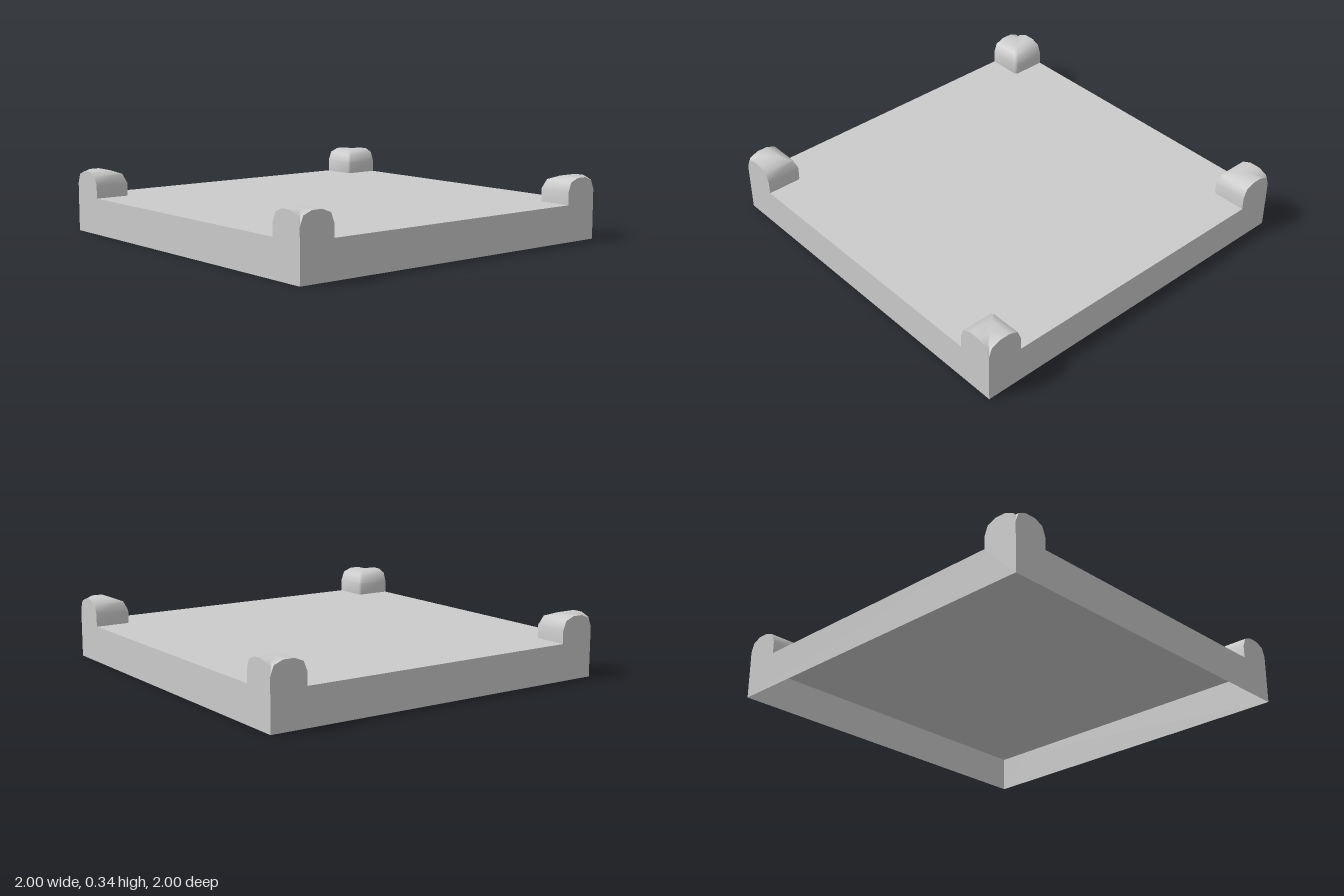
import * as THREE from 'three';
import { toCreasedNormals } from 'three/addons/utils/BufferGeometryUtils.js';

const material = new THREE.MeshStandardMaterial({ color: 0xcccccc, side: THREE.DoubleSide });
const DECK = 0.2;

// Arch profile of a corner stud: [distance inwards from the outer edge, height]
const ARCH = [[0, 0.27], [0.02, 0.32], [0.07, 0.34], [0.13, 0.34], [0.18, 0.32], [0.2, 0.27], [0.2, DECK]];

function mesh(name, geometry) {
  const m = new THREE.Mesh(geometry, material);
  m.name = name;
  return m;
}

// Flat side wall whose ends rise into the arches of the corner studs
function wallGeometry() {
  const shape = new THREE.Shape();
  shape.moveTo(-1, 0);
  shape.lineTo(1, 0);
  ARCH.forEach(([t, y]) => shape.lineTo(1 - t, y));
  [...ARCH].reverse().forEach(([t, y]) => shape.lineTo(t - 1, y));
  shape.closePath();
  return new THREE.ShapeGeometry(shape);
}

// Stud surface: the arch swept around the corner, mitred on the diagonal
function studGeometry() {
  const positions = [];
  const rows = ARCH.map(([t, y]) => {
    const c = t * 0.06; // small chamfer on the inner corner
    return [[0, t], [t - c, t], [t, t - c], [t, 0]].map(([u, v]) => [1 - u, y, 1 - v]);
  });
  for (let i = 0; i < rows.length - 1; i++) {
    for (let j = 0; j < 3; j++) {
      const a = rows[i][j], b = rows[i + 1][j], c = rows[i + 1][j + 1], d = rows[i][j + 1];
      if (i > 0) positions.push(...a, ...b, ...d); // the first row is a single point
      positions.push(...b, ...c, ...d);
    }
  }
  const geometry = new THREE.BufferGeometry();
  geometry.setAttribute('position', new THREE.Float32BufferAttribute(positions, 3));
  return toCreasedNormals(geometry, 0.9);
}

export function createModel() {
  const model = new THREE.Group();
  model.name = 'tray';

  // Deck, open underneath
  const deck = mesh('deck', new THREE.PlaneGeometry(2, 2).rotateX(-Math.PI / 2));
  deck.position.y = DECK;
  model.add(deck);

  // Four walls and four corner studs, turned about the centre
  const wall = wallGeometry().translate(0, 0, 1);
  const stud = studGeometry();
  ['front', 'left', 'back', 'right'].forEach((side, i) => {
    const corner = new THREE.Group();
    corner.name = side + 'Side';
    corner.add(mesh(side + 'Wall', wall), mesh(side + 'CornerStud', stud));
    corner.rotation.y = (i * Math.PI) / 2;
    model.add(corner);
  });
  return model;
}
